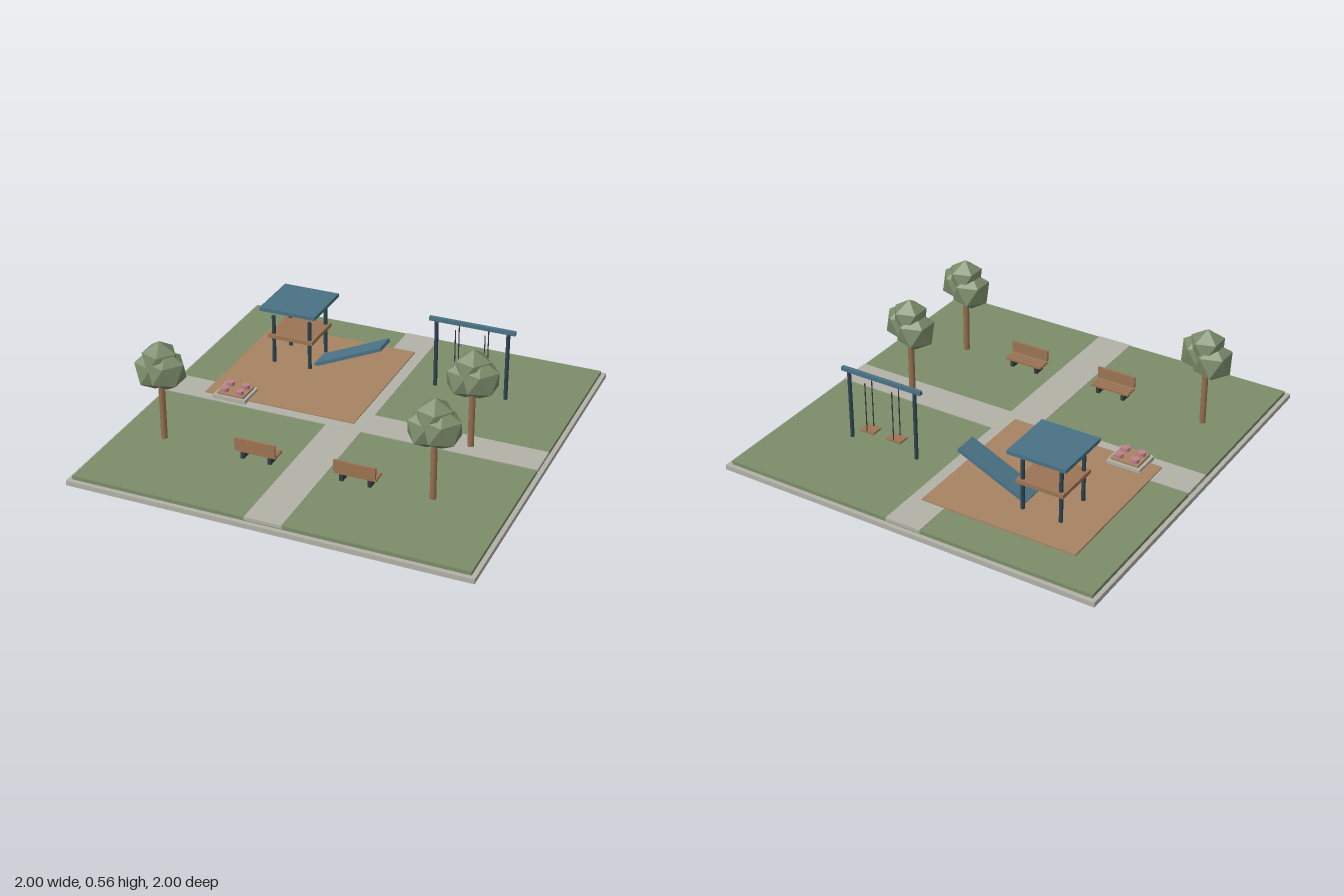
import * as THREE from 'three';

const paint = (name, color) => {
  const m = new THREE.MeshStandardMaterial({ color });
  m.name = name;
  return m;
};

export function createModel() {
  const concrete = paint('concrete', 0xb3b2a8);
  const grass = paint('grass', 0x7c8c69);
  const sand = paint('sand', 0xa78464);
  const blue = paint('blue panel', 0x4a7284);
  const steel = paint('dark steel', 0x2f4450);
  const wood = paint('wood', 0x9c7453);
  const bark = paint('bark', 0x95704f);
  const leaf = paint('leaf', 0x7a8b69);
  const dark = paint('dark iron', 0x363b3f);
  const pink = paint('pink flower', 0xc0808c);
  leaf.flatShading = true;

  const model = new THREE.Group();
  model.name = 'park';

  const add = (parent, name, geometry, material, x, y, z) => {
    const mesh = new THREE.Mesh(geometry, material);
    mesh.name = name;
    mesh.position.set(x, y, z);
    parent.add(mesh);
    return mesh;
  };
  // Box given by its ranges along x, y and z
  const box = (parent, name, material, [x0, x1], [y0, y1], [z0, z1]) =>
    add(parent, name, new THREE.BoxGeometry(x1 - x0, y1 - y0, z1 - z0), material,
      (x0 + x1) / 2, (y0 + y1) / 2, (z0 + z1) / 2);
  // Upright cylinder between two heights
  const rod = (parent, name, material, r, x, z, y0, y1, sides = 10) =>
    add(parent, name, new THREE.CylinderGeometry(r, r, y1 - y0, sides), material, x, (y0 + y1) / 2, z);
  const group = (name, x = 0, z = 0) => {
    const g = new THREE.Group();
    g.name = name;
    g.position.set(x, 0, z);
    model.add(g);
    return g;
  };

  // Ground layers
  box(model, 'baseSlab', concrete, [-1, 1], [0, 0.025], [-1, 1]);
  box(model, 'lawn', grass, [-0.978, 0.978], [0.025, 0.044], [-0.978, 0.978]);
  box(model, 'longPath', concrete, [-0.095, 0.09], [0.03, 0.047], [-0.98, 0.98]);
  box(model, 'crossPath', concrete, [-0.98, 0.98], [0.03, 0.048], [-0.09, 0.085]);
  box(model, 'sandPit', sand, [-0.78, 0.03], [0.03, 0.053], [-0.78, 0.03]);

  // Play tower with slide
  const tower = group('playTower', -0.5, -0.5);
  for (const x of [-0.1, 0.1])
    for (const z of [-0.1, 0.1]) rod(tower, 'towerPost', steel, 0.01, x, z, 0.045, 0.315);
  box(tower, 'platform', wood, [-0.123, 0.123], [0.195, 0.215], [-0.123, 0.123]);
  box(tower, 'roof', blue, [-0.153, 0.153], [0.357, 0.376], [-0.153, 0.153]);
  const slide = add(tower, 'slide', new THREE.BoxGeometry(0.4, 0.018, 0.12), blue, 0.292, 0.136, 0);
  slide.rotation.z = 0.42;

  // Swing frame and two swings
  const swings = group('swingSet', 0.435, -0.504);
  box(swings, 'topBar', blue, [-0.225, 0.225], [0.405, 0.425], [-0.01, 0.01]);
  for (const side of [-1, 1]) {
    rod(swings, 'swingPost', steel, 0.01, side * 0.187, 0, 0.04, 0.41);
    const x = side * 0.077;
    box(swings, 'swingSeat', wood, [x - 0.039, x + 0.039], [0.115, 0.124], [-0.031, 0.031]);
    for (const z of [-0.027, 0.027]) rod(swings, 'rope', dark, 0.0028, x, z, 0.12, 0.388, 6);
  }

  // Flower bed
  const bed = group('flowerBed', -0.627, -0.003);
  box(bed, 'curb', concrete, [-0.088, 0.088], [0.045, 0.07], [-0.073, 0.073]);
  box(bed, 'soil', sand, [-0.073, 0.073], [0.06, 0.081], [-0.06, 0.06]);
  for (const x of [-0.042, 0.042])
    for (const z of [-0.033, 0.033]) rod(bed, 'flower', pink, 0.021, x, z, 0.08, 0.1);

  // Benches, with the backrest on the front side
  for (const x of [-0.255, 0.25]) {
    const bench = group('bench', x, 0.5);
    for (const z of [-0.029, -0.004, 0.021])
      box(bench, 'seatSlat', wood, [-0.104, 0.104], [0.08, 0.092], [z - 0.01, z + 0.01]);
    box(bench, 'backrest', wood, [-0.104, 0.104], [0.096, 0.155], [0.028, 0.04]);
    for (const s of [-0.07, 0.07])
      box(bench, 'benchLeg', dark, [s - 0.009, s + 0.009], [0.043, 0.081], [-0.032, 0.03]);
  }

  // Trees: a trunk and three faceted clumps, each standing on a vertex
  const clump = new THREE.IcosahedronGeometry(1, 0);
  clump.rotateX(-Math.atan((1 + Math.sqrt(5)) / 2)).rotateY(Math.PI / 2);
  for (const [x, z] of [[-0.755, 0.5], [0.62, 0.5], [0.62, 0]]) {
    const tree = group('tree', x, z);
    rod(tree, 'trunk', bark, 0.016, 0, 0, 0.0, 0.37, 8);
    for (const [r, cx, cy, cz] of [
      [0.104, -0.038, 0.402, -0.008], [0.104, 0.038, 0.423, 0.012], [0.094, 0, 0.468, 0],
    ]) add(tree, 'foliage', clump, leaf, cx, cy, cz).scale.setScalar(r);
  }
  return model;
}
